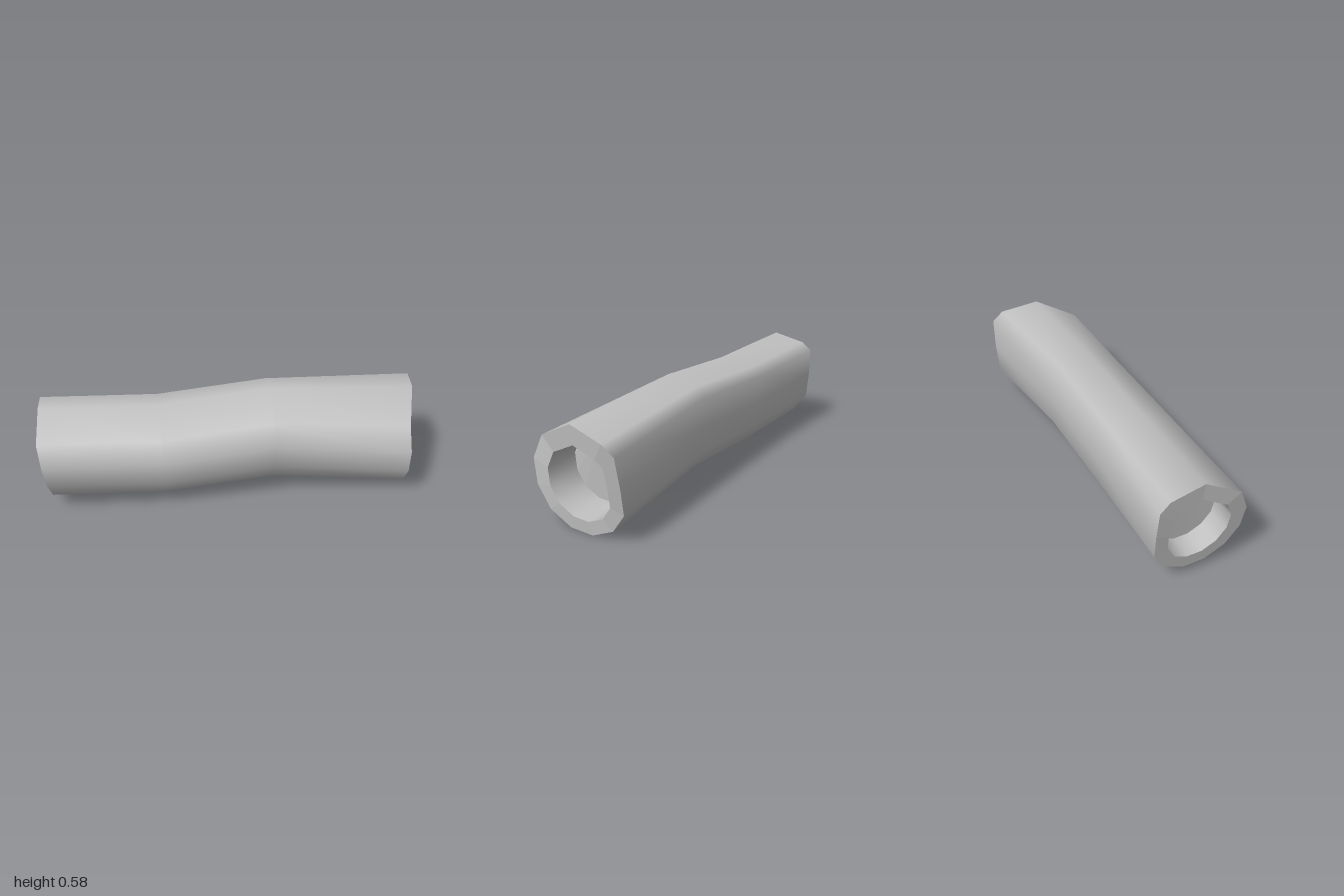
import * as THREE from 'three';

// Faceted outline of the log, seen from its +x end: [x, y, z]
const END = [
  [0.96, 0.543, 0], [0.9, 0.43, 0.22], [0.903, 0.307, 0.275], [0.906, 0.177, 0.257],
  [0.91, 0.07, 0.18], [0.912, 0.007, 0.06], [0.915, 0.002, -0.07], [0.917, 0.055, -0.19],
  [0.935, 0.16, -0.267], [0.965, 0.3, -0.273], [0.995, 0.455, -0.267], [1, 0.503, -0.205],
];

// The same outline fitted into another height and depth range; xAt gives x for a height
const section = (xAt, y0, y1, z0, z1) => END.map(([, y, z]) => {
  const v = (y - 0.002) / 0.541, w = (z + 0.273) / 0.548;
  return [xAt(v), y0 + v * (y1 - y0), z0 + w * (z1 - z0)];
});

// Scale a ring about its centre, then shift it
const inset = (ring, s, dx = 0, dy = 0) => {
  const c = [0, 1, 2].map(k => ring.reduce((sum, p) => sum + p[k], 0) / ring.length);
  return ring.map(p => [
    c[0] + (p[0] - c[0]) * s + dx,
    c[1] + (p[1] - c[1]) * s + dy,
    c[2] + (p[2] - c[2]) * s,
  ]);
};

// Skin between successive rings
function loft(rings, flat = false) {
  const n = END.length, index = [];
  for (let r = 0; r < rings.length - 1; r++) {
    for (let i = 0; i < n; i++) {
      const j = (i + 1) % n, a = r * n, b = a + n;
      index.push(a + i, a + j, b + j, a + i, b + j, b + i);
    }
  }
  return build(rings.flat(), index, flat);
}

// Flat fan closing a ring
function cap(ring, reversed) {
  const index = [];
  for (let i = 1; i < ring.length - 1; i++) {
    index.push(0, reversed ? i + 1 : i, reversed ? i : i + 1);
  }
  return build(ring, index, true);
}

function build(points, index, flat) {
  let g = new THREE.BufferGeometry();
  g.setAttribute('position', new THREE.Float32BufferAttribute(points.flat(), 3));
  g.setIndex(index);
  if (flat) g = g.toNonIndexed();
  g.computeVertexNormals();
  return g;
}

export function createModel() {
  const group = new THREE.Group();
  group.name = 'hollowLog';
  const grey = new THREE.MeshStandardMaterial({ color: 0xc0c0c0 });
  grey.name = 'grey';
  const add = (name, geometry) => {
    const mesh = new THREE.Mesh(geometry, grey);
    mesh.name = name;
    group.add(mesh);
  };

  // Gently bent trunk
  const left = section(v => -0.945 - 0.055 * Math.min(1, v * 1.25) + 0.01 * Math.max(0, v * 5 - 4),
    0.045, 0.543, -0.245, 0.225);
  const waist = section(() => -0.38, 0.03, 0.53, -0.225, 0.245);
  const bend = section(() => 0.2, 0.065, 0.578, -0.238, 0.22);
  add('trunk', loft([left, waist, bend, END]));

  // Right end: cut face, hollow and its floor
  const rimR = inset(END, 0.69, 0, -0.01);
  const floorR = inset(rimR, 0.97, -0.19, 0.014);
  add('rightCutFace', loft([END, rimR], true));
  add('rightHollowWall', loft([rimR, floorR]));
  add('rightHollowFloor', cap(floorR, false));

  // Left end: the same, shallower
  const rimL = inset(left, 0.69, 0, -0.005);
  const floorL = inset(rimL, 0.98, 0.13, 0);
  add('leftCutFace', loft([rimL, left], true));
  add('leftHollowWall', loft([floorL, rimL]));
  add('leftHollowFloor', cap(floorL, true));

  return group;
}
